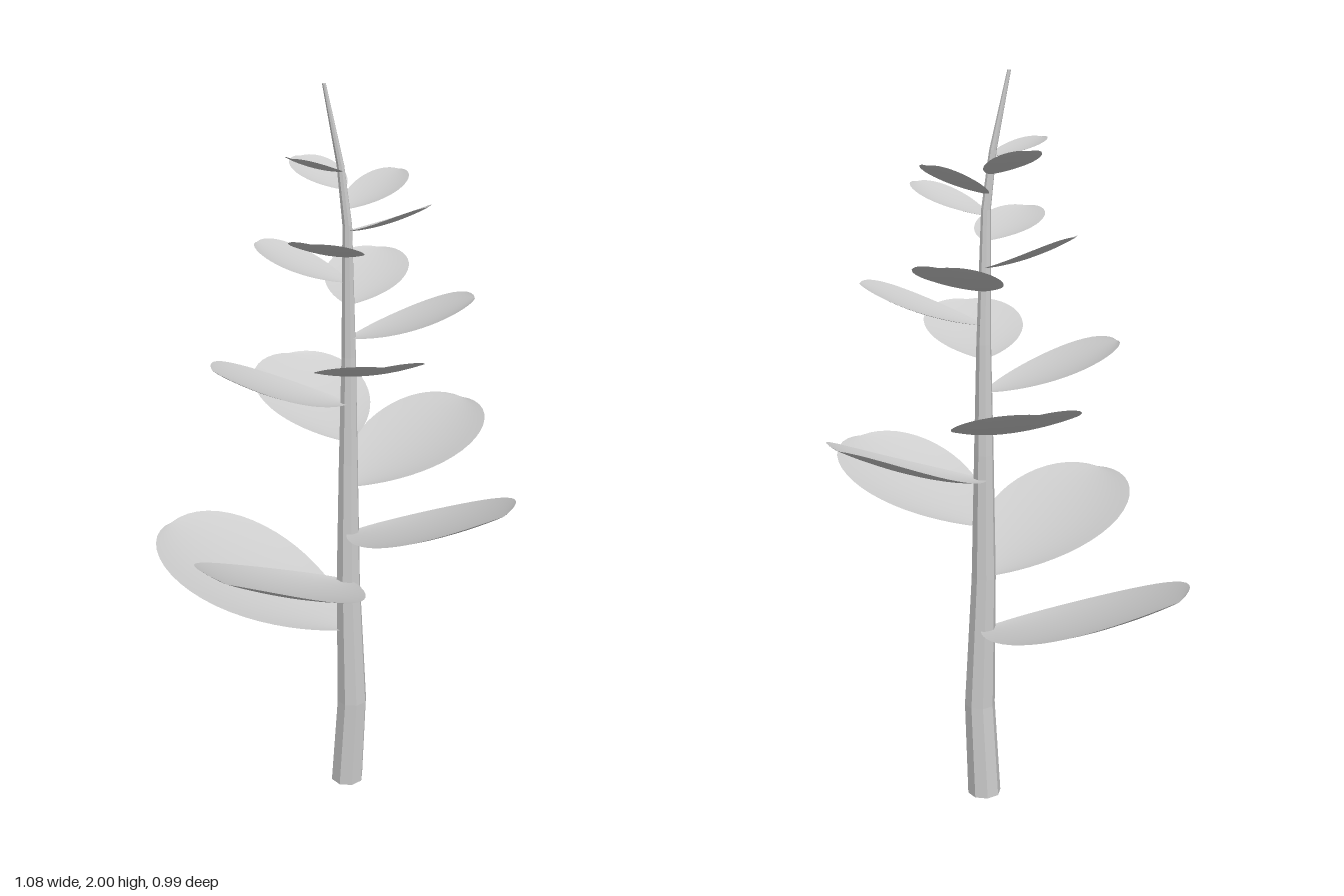
import * as THREE from 'three';

const UP = new THREE.Vector3(0, 1, 0);

// Stem rings: x, y, z, radius
const RINGS = [
  [0.055, 0, -0.06, 0.047],
  [0.07, 0.27, -0.058, 0.043],
  [0.058, 0.65, -0.053, 0.034],
  [0.055, 1.0, -0.054, 0.027],
  [0.055, 1.3, -0.052, 0.02],
  [0.056, 1.65, -0.037, 0.013],
  [0.042, 1.8, -0.025, 0.01],
  [0.01, 2.0, 0.003, 0.005],
];

// Leaves from the bottom up: base height, tip x, y, z, width
const LEAVES = [
  [0.495, -0.54, 0.70, -0.06, 0.47],
  [0.65, 0.0, 0.85, 0.485, 0.425],
  [0.795, 0.54, 0.97, 0.03, 0.39],
  [0.93, 0.2, 1.085, -0.49, 0.36],
  [1.06, -0.27, 1.2, -0.305, 0.325],
  [1.17, -0.2, 1.295, 0.215, 0.295],
  [1.26, 0.28, 1.37, 0.205, 0.275],
  [1.35, 0.342, 1.46, -0.205, 0.25],
  [1.44, 0.0, 1.535, -0.33, 0.225],
  [1.5, -0.19, 1.59, 0.0, 0.205],
  [1.57, 0.08, 1.645, 0.195, 0.185],
  [1.635, 0.28, 1.715, -0.03, 0.17],
  [1.69, 0.105, 1.77, -0.228, 0.155],
  [1.74, -0.112, 1.805, -0.1, 0.145],
  [1.785, -0.012, 1.832, 0.125, 0.135],
];

// Centre of the stem at a given height
function stemAt(y) {
  const i = Math.max(1, RINGS.findIndex((r) => r[1] >= y));
  const a = RINGS[i - 1], b = RINGS[i];
  const k = (y - a[1]) / (b[1] - a[1]);
  return new THREE.Vector3(a[0] + (b[0] - a[0]) * k, y, a[2] + (b[2] - a[2]) * k);
}

// Tapered, gently bent eight-sided stem
function makeStem() {
  const n = RINGS.length - 1;
  const geo = new THREE.CylinderGeometry(1, 1, 1, 8, n);
  const p = geo.attributes.position;
  for (let i = 0; i < p.count; i++) {
    const [x, y, z, r] = RINGS[Math.round((p.getY(i) + 0.5) * n)];
    p.setXYZ(i, x + p.getX(i) * r, y, z + p.getZ(i) * r);
  }
  geo.computeVertexNormals();
  const mesh = new THREE.Mesh(geo, new THREE.MeshStandardMaterial({ color: 0xcccccc, flatShading: true }));
  mesh.name = 'stem';
  return mesh;
}

// Cupped oval leaf, narrow at its base and curving up to a round tip
function makeLeaf([baseY, tx, ty, tz, width], material) {
  const base = stemAt(baseY);
  const chord = new THREE.Vector3(tx, ty, tz).sub(base);
  const side = new THREE.Vector3().crossVectors(chord, UP).normalize();
  const length = chord.length();
  const geo = new THREE.PlaneGeometry(2, 1, 10, 24);
  const p = geo.attributes.position;
  const v = new THREE.Vector3();
  for (let i = 0; i < p.count; i++) {
    const s = p.getX(i);
    const t = (1 - Math.cos((p.getY(i) + 0.5) * Math.PI)) / 2;
    const half = (width / 2) * Math.pow(t, 0.8) * Math.sqrt(Math.max(0, 1 - t)) / 0.42;
    v.copy(base).addScaledVector(chord, t).addScaledVector(side, s * half);
    v.y += 0.13 * half * s * s - 0.2 * length * t * (1 - t);
    p.setXYZ(i, v.x, v.y, v.z);
  }
  geo.computeVertexNormals();
  const mesh = new THREE.Mesh(geo, material);
  mesh.name = 'leaf';
  return mesh;
}

export function createModel() {
  const plant = new THREE.Group();
  plant.name = 'plant';
  plant.add(makeStem());

  const leaves = new THREE.Group();
  leaves.name = 'leaves';
  const material = new THREE.MeshStandardMaterial({ color: 0xcccccc, side: THREE.DoubleSide });
  for (const leaf of LEAVES) leaves.add(makeLeaf(leaf, material));
  plant.add(leaves);
  return plant;
}
